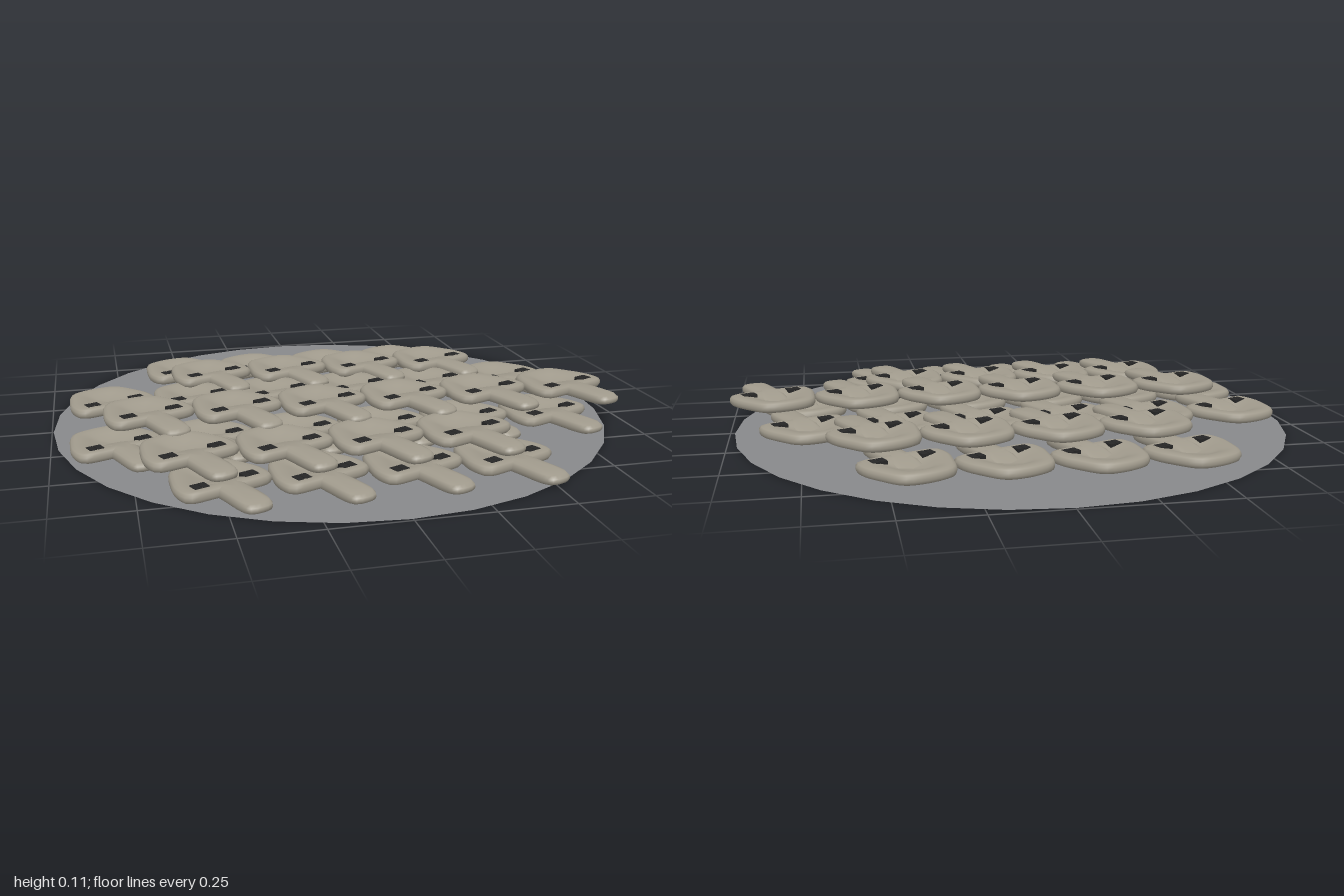
import * as THREE from 'three';

// Smooth closed solid: one outline (x, z), stacked as rings of [scale, y] about a centre.
// lift(x, z, y) may adjust the height of each vertex.
function ringSolid(outline, centreZ, rings, lift = (x, z, y) => y, n = 40) {
  const curve = new THREE.CatmullRomCurve3(
    outline.map(([x, z]) => new THREE.Vector3(x, 0, z)), true, 'centripetal');
  const pts = curve.getSpacedPoints(n).slice(0, n);
  const pos = [], idx = [];
  rings.forEach(([s, y], r) => pts.forEach((p, i) => {
    const x = p.x * s, z = centreZ + (p.z - centreZ) * s;
    pos.push(x, lift(x, z, y), z);
    if (r === rings.length - 1) return;
    const a = r * n + i, b = r * n + (i + 1) % n;
    idx.push(a, a + n, b, b, a + n, b + n);
  }));
  const g = new THREE.BufferGeometry();
  g.setAttribute('position', new THREE.Float32BufferAttribute(pos, 3));
  g.setIndex(idx);
  g.computeVertexNormals();
  return g;
}

export function createModel() {
  const model = new THREE.Group();
  const stone = new THREE.MeshStandardMaterial({ color: 0xa09a8c });
  const dark = new THREE.MeshStandardMaterial({ color: 0x262626 });
  const grey = new THREE.MeshStandardMaterial({ color: 0x88898b, side: THREE.DoubleSide });

  // flat round base
  const disc = new THREE.Mesh(new THREE.CircleGeometry(0.99, 32), grey);
  disc.name = 'baseDisc';
  disc.rotation.x = -Math.PI / 2;
  disc.position.x = -0.005;
  model.add(disc);

  // shield-shaped body with a dished top
  const bodyGeo = ringSolid([
    [0.151, -0.03], [0.149, 0.03], [0.135, 0.045], [0.06, 0.05], [-0.06, 0.05],
    [-0.135, 0.045], [-0.149, 0.03], [-0.151, -0.03], [-0.132, -0.09], [-0.1, -0.16],
    [-0.075, -0.18], [0, -0.192], [0.075, -0.18], [0.1, -0.16], [0.132, -0.09],
  ], -0.065, [
    [0, 0], [0.9, 0], [0.97, 0.004], [1, 0.013], [1, 0.024], [0.96, 0.033],
    [0.88, 0.037], [0.7, 0.036], [0.5, 0.028], [0.3, 0.018], [0, 0.014],
  ]);

  // tongue rising out of the dish and reaching forward
  const ramp = z => THREE.MathUtils.smoothstep(z, -0.08, 0.02);
  const tongueGeo = ringSolid([
    [0.047, 0.07], [0.046, 0.18], [0.036, 0.21], [0, 0.218], [-0.036, 0.21],
    [-0.046, 0.18], [-0.047, 0.07], [-0.047, -0.03], [-0.04, -0.07], [0, -0.08],
    [0.04, -0.07], [0.047, -0.03],
  ], 0.07, [
    [0, 0], [0.88, 0], [0.97, 0.005], [1, 0.014], [0.99, 0.023],
    [0.9, 0.031], [0.65, 0.036], [0.3, 0.038], [0, 0.038],
  ], (x, z, y) => y * (0.4 + 0.6 * ramp(z)));

  const slotGeo = new THREE.BoxGeometry(0.023, 0.012, 0.038);

  function makePiece() {
    const piece = new THREE.Group();
    const add = (geo, mat, name) => {
      const m = new THREE.Mesh(geo, mat);
      m.name = name;
      piece.add(m);
      return m;
    };
    add(bodyGeo, stone, 'body');
    add(tongueGeo, stone, 'tongue');
    // a pair of dark slots on each side of the tongue
    for (const side of [-1, 1])
      for (const x of [0.072, 0.098])
        add(slotGeo, dark, 'slot').position.set(side * x, 0.032, 0.004);
    return piece;
  }

  // rows: [first x, z, height, number of pieces]
  const rows = [
    [-0.475, -0.55, 0.008, 4],
    [-0.39, -0.335, 0.052, 4],
    [-0.78, -0.12, 0.028, 6],
    [-0.78, 0.28, 0.008, 6],
    [-0.666, 0.17, 0.071, 6],
    [-0.565, 0.52, 0.05, 4],
    [-0.49, 0.68, 0.008, 4],
  ];
  rows.forEach(([x, z, y, count], r) => {
    const row = new THREE.Group();
    row.name = `pieceRow${r + 1}`;
    for (let i = 0; i < count; i++) {
      const piece = makePiece();
      piece.name = 'piece';
      piece.position.set(x + i * 0.305, y, z);
      piece.rotation.y = 0.4;
      row.add(piece);
    }
    model.add(row);
  });
  return model;
}
